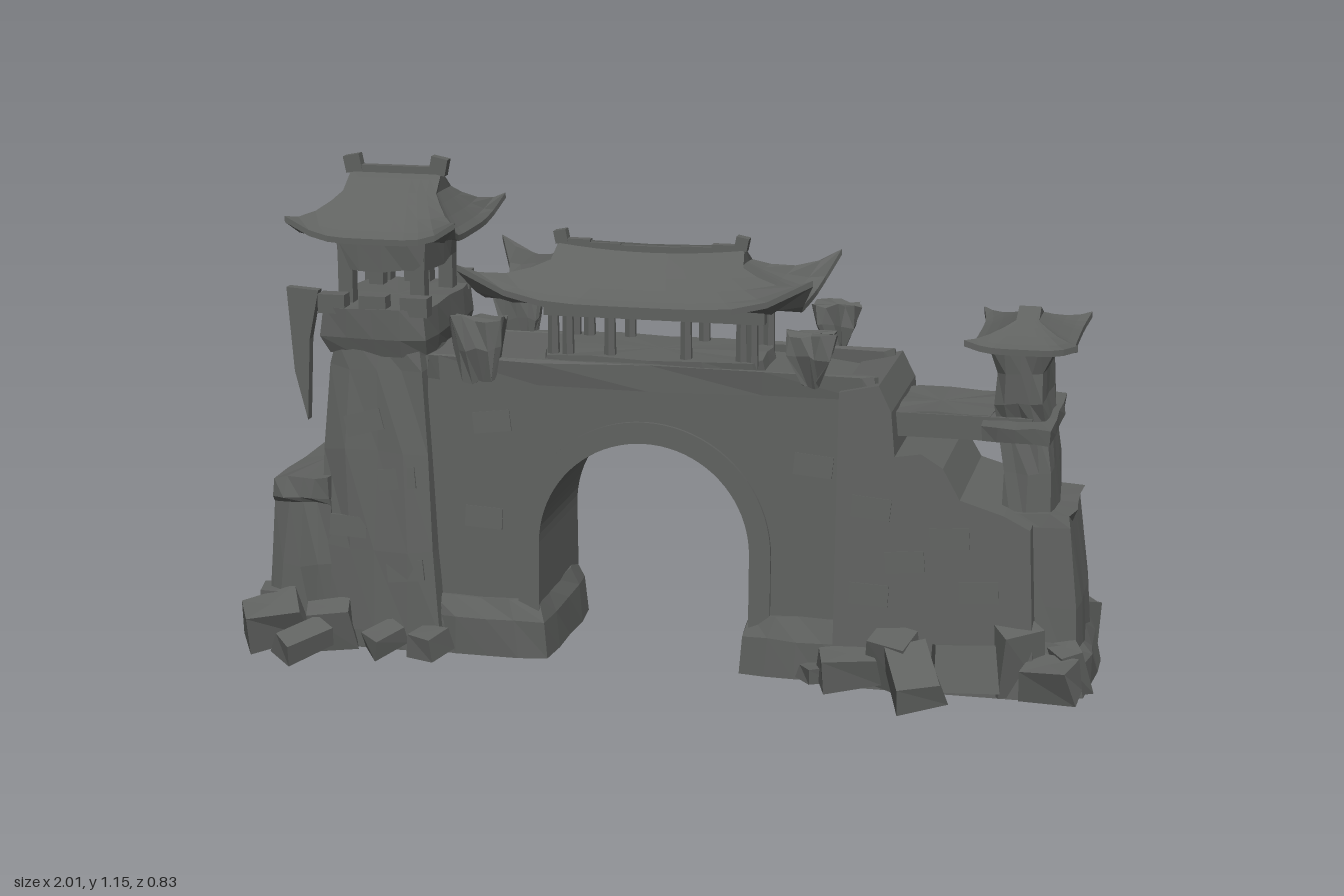
import * as THREE from 'three';

const stone = new THREE.MeshStandardMaterial({ color: 0x606260, side: THREE.DoubleSide, flatShading: true });
stone.name = 'weathered grey stone';

export function createModel() {
  const model = new THREE.Group();
  let seed = 7;
  const rnd = () => ((seed = (seed * 16807) % 2147483647) / 2147483647) * 2 - 1;

  const add = (name, geometry, x = 0, y = 0, z = 0) => {
    const mesh = new THREE.Mesh(geometry, stone);
    mesh.name = name;
    mesh.position.set(x, y, z);
    model.add(mesh);
    return mesh;
  };

  // Skin closed rings of points, listed from bottom to top, with caps
  function loft(rings) {
    const n = rings[0].length, pos = [], idx = [];
    rings.forEach(r => r.forEach(p => pos.push(...p)));
    for (let i = 0; i < rings.length - 1; i++)
      for (let j = 0; j < n; j++) {
        const a = i * n + j, b = i * n + (j + 1) % n;
        idx.push(a, b, a + n, b, b + n, a + n);
      }
    [0, rings.length - 1].forEach((k, top) => {
      const c = pos.length / 3;
      pos.push(...[0, 1, 2].map(d => rings[k].reduce((s, p) => s + p[d], 0) / n));
      for (let j = 0; j < n; j++) {
        const a = k * n + j, b = k * n + (j + 1) % n;
        idx.push(c, top ? a : b, top ? b : a);
      }
    });
    let g = new THREE.BufferGeometry();
    g.setAttribute('position', new THREE.Float32BufferAttribute(pos, 3));
    g.setIndex(idx);
    g = g.toNonIndexed();
    g.computeVertexNormals();
    return g;
  }

  // Unit rectangle perimeter as [x, z, position along side]
  function perimeter(n) {
    const out = [];
    for (let s = 0; s < 4; s++)
      for (let i = 0; i < n; i++) {
        const u = 1 - 2 * i / n;
        out.push([[1, u, u], [u, -1, u], [-1, -u, u], [-u, 1, u]][s]);
      }
    return out;
  }

  // Weathered masonry from levels [y, x0, x1, half depth]
  function masonry(name, levels, wear = 0.007, z = 0) {
    return add(name, loft(levels.map(([y, x0, x1, d]) => perimeter(4).map(([u, v, e]) => {
      const k = Math.abs(e) === 1 ? 0.95 : 1;
      return [(x0 + x1) / 2 + u * k * (x1 - x0) / 2 + rnd() * wear,
        Math.max(0, y + (y > 0.02 ? rnd() * wear : 0)), v * k * d + rnd() * wear];
    }))), 0, 0, z);
  }

  // Hip-and-gable roof with hollow slopes and lifted corners
  function roof(name, cx, ex, ez, ridge, yE, yR, lift, sag = 0) {
    const ring = (t, drop = 0) => perimeter(10).map(([u, v, e]) => {
      const c = Math.abs(e) ** 5, flare = 1 + 0.12 * c * t;
      const hx = ridge + (ex - ridge) * Math.max(0, (t - 0.3) / 0.7);
      const x = u * hx * flare;
      const dip = sag * (1 - t) * (1 - Math.min(1, Math.abs(x) / ridge) ** 2);
      return [cx + x, yE + (yR - yE) * (1 - t) ** 1.25 + lift * c * t ** 3 - drop - dip, v * ez * t * flare];
    });
    const under = ring(0.6).map(([x, , z]) => [x, yE - 0.015, z]);
    add(name, loft([under, ring(1, 0.014), ...[1, 0.85, 0.65, 0.45, 0.3, 0.12, 0].map(t => ring(t))]));
  }

  // Ridge beam following the sag, with raised end tips
  function ridgeBeam(cx, half, y, sag, tip) {
    const segs = 6;
    for (let i = 0; i < segs; i++) {
      const x = half * (2 * (i + 0.5) / segs - 1);
      add('ridgeBeam', new THREE.BoxGeometry(2 * half / segs + 0.004, 0.018, 0.022),
        cx + x, y - sag * (1 - (x / half) ** 2), 0);
    }
    for (const s of [-1, 1])
      add('ridgeTip', new THREE.BoxGeometry(tip, tip, 0.026), cx + s * (half - 0.005), y + tip * 0.3, 0).rotation.z = -s * 0.2;
  }

  // Outline pushed through z, narrowing towards the top
  function slab(name, shape, half, taper) {
    const g = new THREE.ExtrudeGeometry(shape, { depth: 2 * half, bevelEnabled: false, curveSegments: 20 });
    g.translate(0, 0, -half);
    const p = g.attributes.position;
    for (let i = 0; i < p.count; i++) p.setZ(i, p.getZ(i) * (1 - taper * p.getY(i)));
    g.computeVertexNormals();
    return add(name, g);
  }
  const outline = pts => new THREE.Shape(pts.map(p => new THREE.Vector2(...p)));

  // Gate wall with arched passage
  const ax = -0.035;
  const wall = outline([[-0.56, 0], [-0.285, 0], [-0.285, 0.28]]);
  wall.absarc(ax, 0.28, 0.25, Math.PI, 0, true);
  [[0.215, 0], [0.46, 0], [0.46, 0.67], [0.3, 0.69], [0.1, 0.7], [-0.3, 0.71], [-0.56, 0.71]].forEach(p => wall.lineTo(...p));
  slab('gateWall', wall, 0.178, 0.2);

  // Raised arch surround
  const band = outline([[ax - 0.3, 0.1], [ax - 0.25, 0.1], [ax - 0.25, 0.28]]);
  band.absarc(ax, 0.28, 0.25, Math.PI, 0, true);
  [[ax + 0.25, 0.1], [ax + 0.3, 0.1], [ax + 0.3, 0.28]].forEach(p => band.lineTo(...p));
  band.absarc(ax, 0.28, 0.3, 0, Math.PI, false);
  slab('archSurround', band, 0.187, 0.2);

  // Plinths beside the passage
  masonry('leftPlinth', [[0, 0.185, 0.46, 0.2], [0.09, 0.195, 0.46, 0.2], [0.14, 0.215, 0.46, 0.182]], 0.004);
  masonry('rightPlinth', [[0, -0.56, -0.255, 0.2], [0.09, -0.56, -0.265, 0.2], [0.14, -0.56, -0.285, 0.182]], 0.004);

  // Wall-top parapets with broken corner stones
  for (const s of [-1, 1]) {
    masonry('parapet', [[0.66, -0.55, 0.5, 0.018], [0.71, -0.55, 0.5, 0.018]], 0.006, s * 0.15);
    masonry('brokenMerlon', [[0.66, -0.46, -0.39, 0.02], [0.74, -0.475, -0.375, 0.03], [0.81, -0.49, -0.365, 0.025]], 0.008, s * 0.165);
    masonry('brokenMerlon', [[0.69, 0.34, 0.37, 0.012], [0.76, 0.305, 0.395, 0.025], [0.81, 0.3, 0.41, 0.02]], 0.008, s * 0.165);
  }

  // Gatehouse: floor, posts, lintels and roof
  masonry('gatehouseFloor', [[0.69, -0.3, 0.23, 0.13], [0.72, -0.29, 0.22, 0.13]], 0.003);
  for (const z of [-0.1, 0.1]) {
    for (const x of [-0.265, -0.23, -0.13, 0.05, 0.18, 0.205])
      add('gatehousePost', new THREE.CylinderGeometry(0.013, 0.015, 0.13, 6), x, 0.765, z);
    add('gatehouseLintel', new THREE.BoxGeometry(0.52, 0.03, 0.03), -0.025, 0.825, z);
  }
  roof('gatehouseRoof', -0.055, 0.37, 0.17, 0.22, 0.85, 0.97, 0.085, 0.015);
  ridgeBeam(-0.055, 0.22, 0.967, 0.015, 0.03);

  // Tall tower on the right
  masonry('towerBase', [[0, -1, -0.47, 0.2], [0.06, -0.98, -0.48, 0.205], [0.1, -0.94, -0.5, 0.2]]);
  masonry('towerShaft', [[0.05, -0.83, -0.51, 0.225], [0.25, -0.815, -0.525, 0.215], [0.48, -0.805, -0.54, 0.2],
    [0.68, -0.79, -0.55, 0.185], [0.74, -0.78, -0.56, 0.18]]);
  masonry('towerButtress', [[0, -0.96, -0.78, 0.22], [0.2, -0.935, -0.78, 0.22], [0.35, -0.925, -0.78, 0.21],
    [0.36, -0.935, -0.78, 0.225], [0.41, -0.925, -0.78, 0.22]]);
  masonry('towerCorbel', [[0.71, -0.79, -0.55, 0.18], [0.75, -0.81, -0.54, 0.193], [0.82, -0.805, -0.545, 0.193]], 0.004);
  for (const s of [-1, 1])
    for (const x of [-0.775, -0.675, -0.575])
      add('towerMerlon', new THREE.BoxGeometry(0.065, 0.045, 0.04), x, 0.828, s * 0.17);
  for (const x of [-0.76, -0.585])
    for (const z of [-0.11, 0.11])
      add('towerPost', new THREE.BoxGeometry(0.035, 0.18, 0.035), x, 0.89, z);
  masonry('towerLintel', [[0.9, -0.78, -0.56, 0.13], [0.97, -0.785, -0.555, 0.135]], 0.004);
  roof('towerRoof', -0.67, 0.182, 0.188, 0.11, 0.985, 1.12, 0.05);
  ridgeBeam(-0.67, 0.11, 1.118, 0, 0.04);

  // Torn banner beside the tower
  slab('tornBanner', outline([[-0.95, 0.825], [-0.87, 0.82], [-0.895, 0.7], [-0.905, 0.5], [-0.935, 0.62]]), 0.015, 0.2);

  // Ruined wall on the left
  slab('ruinedWall', outline([[0.42, 0], [0.88, 0], [0.86, 0.39], [0.8, 0.42], [0.7, 0.45], [0.66, 0.52], [0.61, 0.55],
    [0.55, 0.54], [0.54, 0.64], [0.51, 0.7], [0.42, 0.68]]), 0.23, 0.3);
  masonry('ruinBase', [[0, 0.42, 1, 0.19], [0.07, 0.44, 0.995, 0.195], [0.12, 0.46, 0.97, 0.18]]);
  masonry('ruinEnd', [[0, 0.66, 0.98, 0.17], [0.2, 0.68, 0.965, 0.16], [0.39, 0.7, 0.945, 0.15], [0.41, 0.72, 0.95, 0.145]]);

  // Broken turret, ledge and cap
  masonry('turretShaft', [[0.38, 0.78, 0.905, 0.13], [0.5, 0.79, 0.895, 0.12], [0.6, 0.765, 0.885, 0.11],
    [0.66, 0.755, 0.875, 0.13], [0.73, 0.765, 0.875, 0.13], [0.8, 0.745, 0.905, 0.14]], 0.005);
  masonry('turretLedge', [[0.585, 0.74, 0.9, 0.19], [0.62, 0.74, 0.9, 0.195]], 0.004);
  for (const s of [-1, 1])
    add('walkwayBeam', new THREE.BoxGeometry(0.36, 0.055, 0.05), 0.67, 0.6, s * 0.1);
  masonry('walkway', [[0.6, 0.5, 0.76, 0.12], [0.63, 0.5, 0.76, 0.12]], 0.004);
  roof('turretRoof', 0.825, 0.112, 0.165, 0.025, 0.795, 0.86, 0.02);

  // Worn stones standing slightly proud of the faces
  const facing = [[-0.74, 0.3], [-0.62, 0.42], [-0.7, 0.55], [-0.6, 0.2], [-0.42, 0.33], [-0.4, 0.56],
    [0.36, 0.5], [0.5, 0.42], [0.58, 0.3], [0.68, 0.36], [0.75, 0.24], [0.5, 0.22]];
  for (const s of [-1, 1])
    for (const [x, y] of facing) {
      const d = x < -0.54 ? 0.228 - 0.06 * y : x > 0.42 ? 0.23 * (1 - 0.3 * y) : 0.178 * (1 - 0.2 * y);
      const chip = add('facingStone', new THREE.BoxGeometry(0.09, 0.05, 0.02), x, y, s * (d - 0.006));
      chip.rotation.set(-s * 0.08, 0, rnd() * 0.3);
    }

  // Fallen blocks [x, z, width, height, depth, turn, lean], on both faces
  const rubble = [[0.62, 0.33, 0.1, 0.06, 0.15, 0.35, 0.4], [0.46, 0.25, 0.13, 0.07, 0.09, 0.3, 0.2],
    [0.56, 0.235, 0.1, 0.12, 0.08, -0.4, 0.3], [0.72, 0.24, 0.14, 0.11, 0.08, 0.2, -0.3], [0.84, 0.2, 0.1, 0.16, 0.07, 0.6, 0.25],
    [0.92, 0.235, 0.12, 0.08, 0.08, -0.2, 0.2], [0.95, 0.17, 0.07, 0.11, 0.07, 0.5, 0.2], [0.38, 0.22, 0.07, 0.04, 0.06, 0.7, 0],
    [-0.91, 0.27, 0.14, 0.09, 0.1, 0.4, 0.3], [-0.82, 0.33, 0.07, 0.05, 0.12, -0.7, 0.3], [-0.78, 0.24, 0.1, 0.1, 0.07, 0.3, 0.3],
    [-0.64, 0.26, 0.08, 0.05, 0.06, 0.8, 0.2], [-0.54, 0.24, 0.07, 0.06, 0.07, -0.3, 0.2], [-0.93, 0.2, 0.08, 0.13, 0.07, 0.2, 0.1]];
  for (const s of [-1, 1])
    for (const [x, z, w, h, d, turn, lean] of rubble) {
      const rock = add('fallenBlock', loft([-1, 1].map(k => perimeter(1).map(([u, v]) =>
        [u * w / 2 * (1 - 0.08 * k) + rnd() * 0.008, k * h / 2 + rnd() * 0.006, v * d / 2 + rnd() * 0.008]))),
      x, 0, s * z);
      rock.rotation.set(s * lean, s * turn, rnd() * 0.12);
      rock.position.y = 0.003 - new THREE.Box3().setFromObject(rock, true).min.y;
    }
  return model;
}
